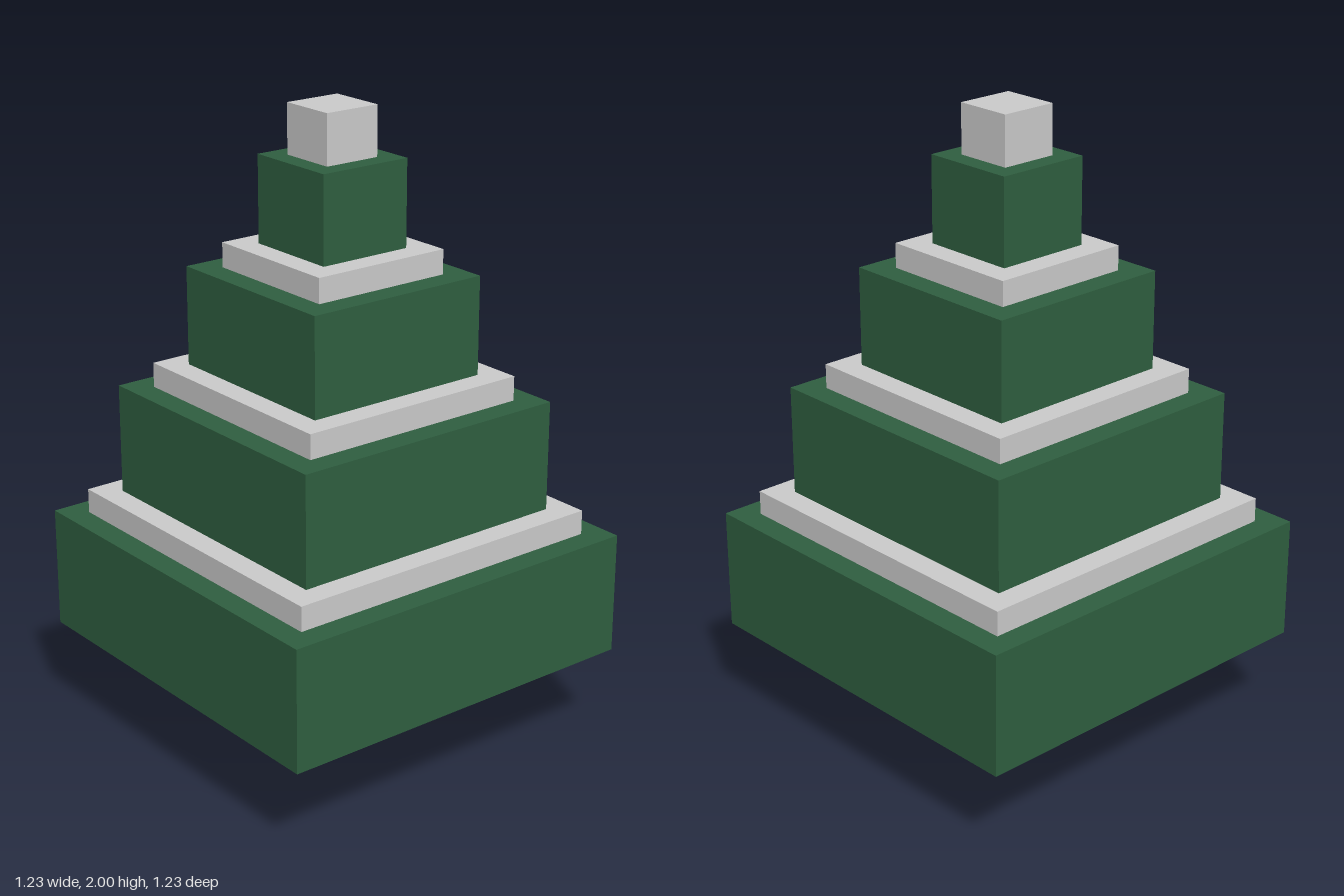
import * as THREE from 'three';

const U = 1 / 13; // block module: the tree is 26 modules tall

export function createModel() {
  const tree = new THREE.Group();
  tree.name = 'blockTree';

  const bark = new THREE.MeshStandardMaterial({ color: 0x5f4430 });
  const needles = new THREE.MeshStandardMaterial({ color: 0x2f5f40 });
  const snow = new THREE.MeshStandardMaterial({ color: 0xcccccc });

  // Stack square blocks from the ground up: name, width, height, material
  let y = 0;
  const stack = (name, width, height, material) => {
    const block = new THREE.Mesh(new THREE.BoxGeometry(width * U, height * U, width * U), material);
    block.name = name;
    block.position.y = (y + height / 2) * U;
    y += height;
    tree.add(block);
  };

  stack('trunk', 2, 4, bark);

  // Four shrinking foliage tiers with a thin snow layer between each
  for (let i = 0; i < 4; i++) {
    stack(`foliageTier${i + 1}`, 16 - 4 * i, 5 - 0.5 * i, needles);
    if (i < 3) stack(`snowLayer${i + 1}`, 14 - 4 * i, 1, snow);
  }

  stack('topBlock', 2.4, 2, snow);
  return tree;
}
